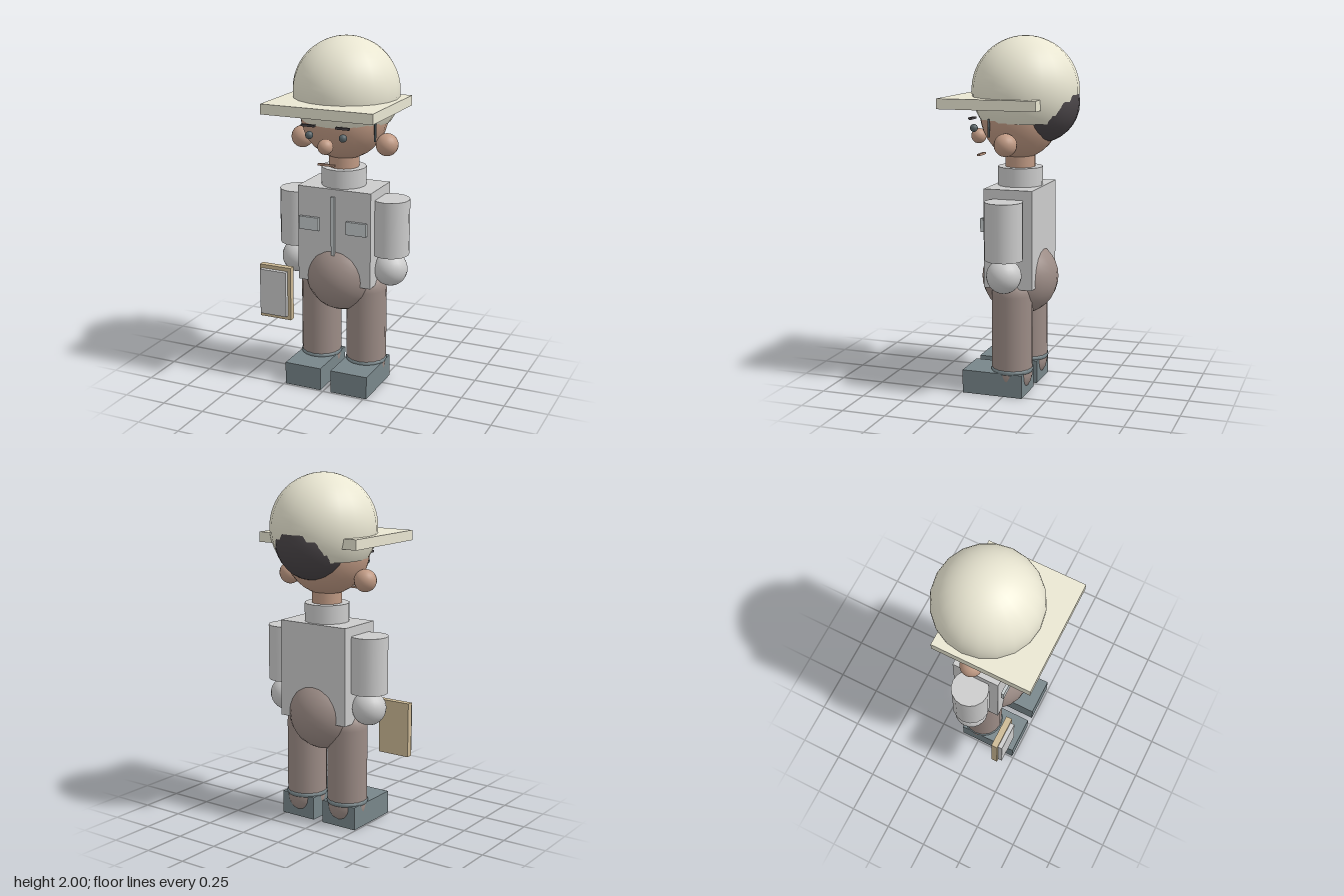
import * as THREE from 'three';

const mat = (color) => new THREE.MeshStandardMaterial({ color, side: THREE.DoubleSide });

export function createModel() {
  const model = new THREE.Group();
  // The figure's own axis sits slightly off the centre because of the clipboard
  const figure = new THREE.Group();
  figure.name = 'figure';
  figure.position.set(0.012, 0, -0.02);
  model.add(figure);

  const skin = mat(0xc09a84);
  const cream = mat(0xe9e6d2);
  const shirt = mat(0xe2e2e0);
  const trousers = mat(0x9c8c86);
  const leather = mat(0x78868a);
  const dark = mat(0x4a4548);
  const slate = mat(0x566266);
  const trim = mat(0xc6cccd);
  const tan = mat(0xcbb894);
  const paper = mat(0xe8e8e6);

  const add = (name, geometry, material, x, y, z, parent = figure) => {
    const mesh = new THREE.Mesh(geometry, material);
    mesh.name = name;
    mesh.position.set(x, y, z);
    parent.add(mesh);
    return mesh;
  };
  const ball = (r) => new THREE.SphereGeometry(r, 20, 16);
  const box = (w, h, d) => new THREE.BoxGeometry(w, h, d);
  const tube = (r, h) => new THREE.CylinderGeometry(r, r, h, 16);

  // Head
  add('head', ball(0.25), skin, 0, 1.57, 0).scale.z = 0.89;
  add('nose', ball(0.043), skin, 0, 1.436, 0.248);
  add('mouth', box(0.1, 0.012, 0.015), skin, 0, 1.332, 0.233);
  add('hair', ball(0.222), dark, 0, 1.634, -0.113);
  add('hairStrand', tube(0.006, 0.1), slate, 0.23, 1.506, 0.105);

  // Helmet: open dome with a flat square brim
  add('helmet', new THREE.SphereGeometry(0.3, 20, 20, 0, Math.PI * 2, 0, Math.PI * 0.69),
    cream, 0, 1.7, -0.03);
  add('helmetBrim', box(0.653, 0.057, 0.563), cream, 0, 1.638, 0.09);

  // Neck and trunk
  add('neck', tube(0.085, 0.14), skin, 0, 1.28, 0);
  add('collar', tube(0.127, 0.11), shirt, 0, 1.22, 0);
  add('torso', box(0.444, 0.555, 0.28), shirt, 0, 0.893, 0);
  add('zipper', box(0.02, 0.34, 0.015), trim, 0, 0.96, 0.153);
  add('pelvis', ball(0.217), trousers, 0, 0.643, 0);

  // Paired parts
  for (const [side, s] of [['left', 1], ['right', -1]]) {
    add(side + 'Ear', ball(0.063), skin, s * 0.258, 1.42, 0);
    add(side + 'Eye', ball(0.022), slate, s * 0.1, 1.49, 0.24);
    add(side + 'Eyebrow', box(0.08, 0.012, 0.018), dark, s * 0.102, 1.545, 0.248);
    add(side + 'Pocket', box(0.12, 0.075, 0.018), trim, s * 0.144, 0.963, 0.158);
    add(side + 'Arm', tube(0.106, 0.322), shirt, s * 0.287, 0.956, 0);
    add(side + 'Hand', ball(0.097), shirt, s * 0.288, 0.705, 0);
    add(side + 'Leg', new THREE.CapsuleGeometry(0.115, 0.455, 8, 16), trousers, s * 0.143, 0.3425, 0);
    const cuff = add(side + 'Cuff', new THREE.TorusGeometry(0.104, 0.016, 8, 24), leather, s * 0.143, 0.139, 0);
    cuff.rotation.x = Math.PI / 2;
    add(side + 'Shoe', box(0.222, 0.133, 0.35), leather, s * 0.143, 0.0665, 0.085);
  }

  // Clipboard beside the right hand
  const clipboard = new THREE.Group();
  clipboard.name = 'clipboard';
  model.add(clipboard);
  add('board', box(0.195, 0.315, 0.037), tan, -0.313, 0.547, 0.197, clipboard);
  add('paper', box(0.163, 0.268, 0.025), paper, -0.316, 0.549, 0.228, clipboard);

  return model;
}
